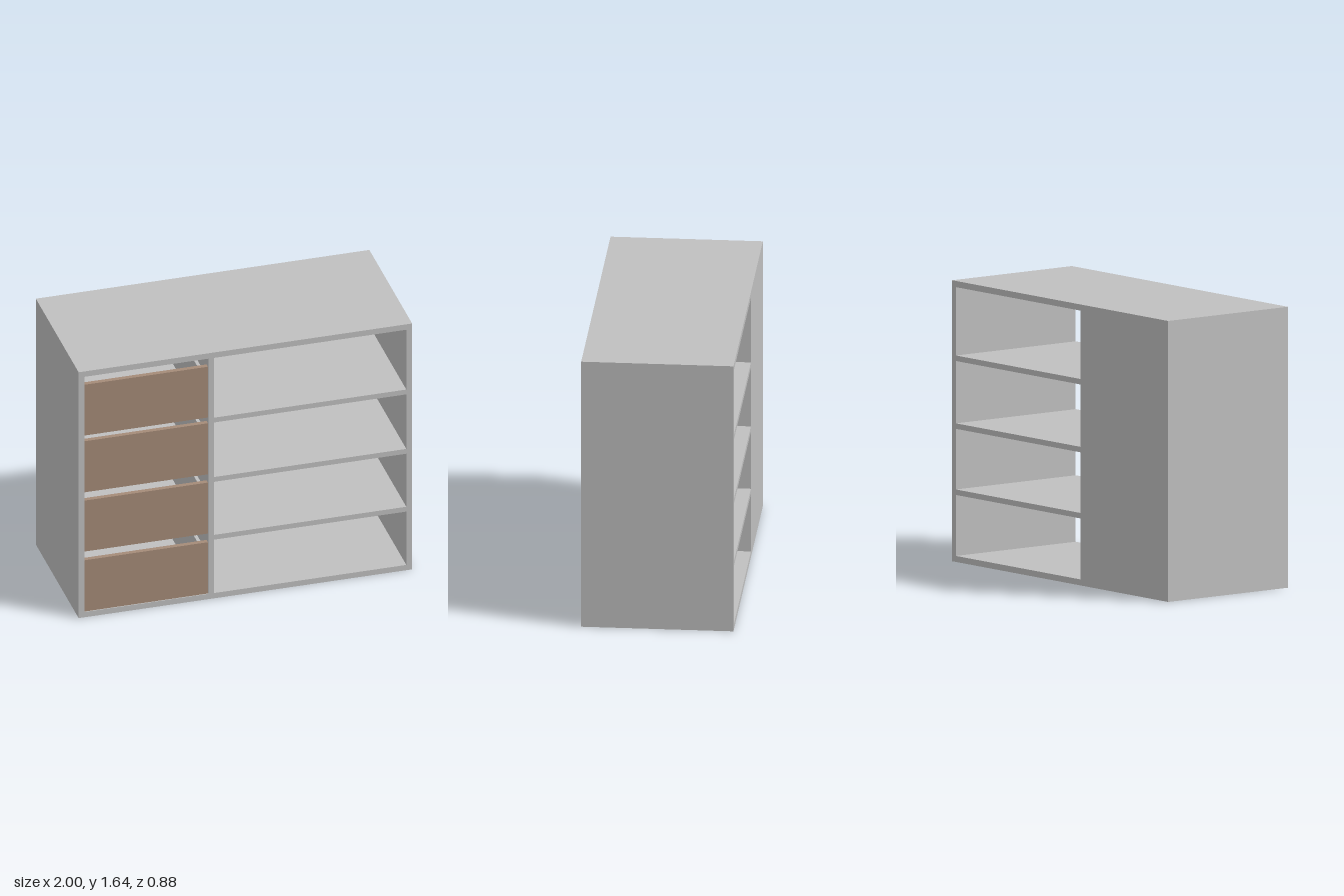
import * as THREE from 'three';

export function createModel() {
  const root = new THREE.Group();
  root.name = 'cabinet';
  const grey = new THREE.MeshStandardMaterial({ color: 0xc0c0c0 });
  grey.name = 'grey board';
  const wood = new THREE.MeshStandardMaterial({ color: 0xa58b78 });
  wood.name = 'brown wood';

  // Box given by its lower and upper limits on each axis
  function panel(name, [x0, x1], [y0, y1], [z0, z1], material = grey, parent = root) {
    const mesh = new THREE.Mesh(new THREE.BoxGeometry(x1 - x0, y1 - y0, z1 - z0), material);
    mesh.position.set((x0 + x1) / 2, (y0 + y1) / 2, (z0 + z1) / 2);
    mesh.name = name;
    parent.add(mesh);
  }

  const depth = [-0.44, 0.44];
  const inner = [0.035, 1.6];

  // Carcass
  panel('bottomPanel', [-1, 1], [0, 0.035], depth);
  panel('topPanel', [-1, 1], [1.6, 1.636], depth);
  panel('rightSide', [-1, -0.965], inner, depth);
  panel('leftSide', [0.965, 1], inner, depth);
  panel('divider', [-0.222, -0.187], inner, depth);
  panel('drawerBack', [-0.965, -0.222], inner, [-0.44, -0.42]);

  // Open shelves
  for (const y of [0.39, 0.775, 1.17]) {
    panel('shelf', [-0.187, 0.965], [y, y + 0.032], depth);
  }

  // Drawers: wooden front with a grey tray behind it
  for (const [y0, y1] of [[0.037, 0.378], [0.436, 0.775], [0.83, 1.17], [1.208, 1.546]]) {
    const drawer = new THREE.Group();
    drawer.name = 'drawer';
    root.add(drawer);
    panel('drawerFront', [-0.963, -0.224], [y0, y1], [0.41, 0.438], wood, drawer);
    panel('drawerBottom', [-0.95, -0.237], [y0 + 0.01, y0 + 0.025], [-0.4, 0.41], grey, drawer);
    panel('drawerRightSide', [-0.95, -0.93], [y0 + 0.025, y1 - 0.05], [-0.4, 0.41], grey, drawer);
    panel('drawerLeftSide', [-0.257, -0.237], [y0 + 0.025, y1 - 0.05], [-0.4, 0.41], grey, drawer);
    panel('drawerRear', [-0.93, -0.257], [y0 + 0.025, y1 - 0.05], [-0.4, -0.38], grey, drawer);
  }
  return root;
}
